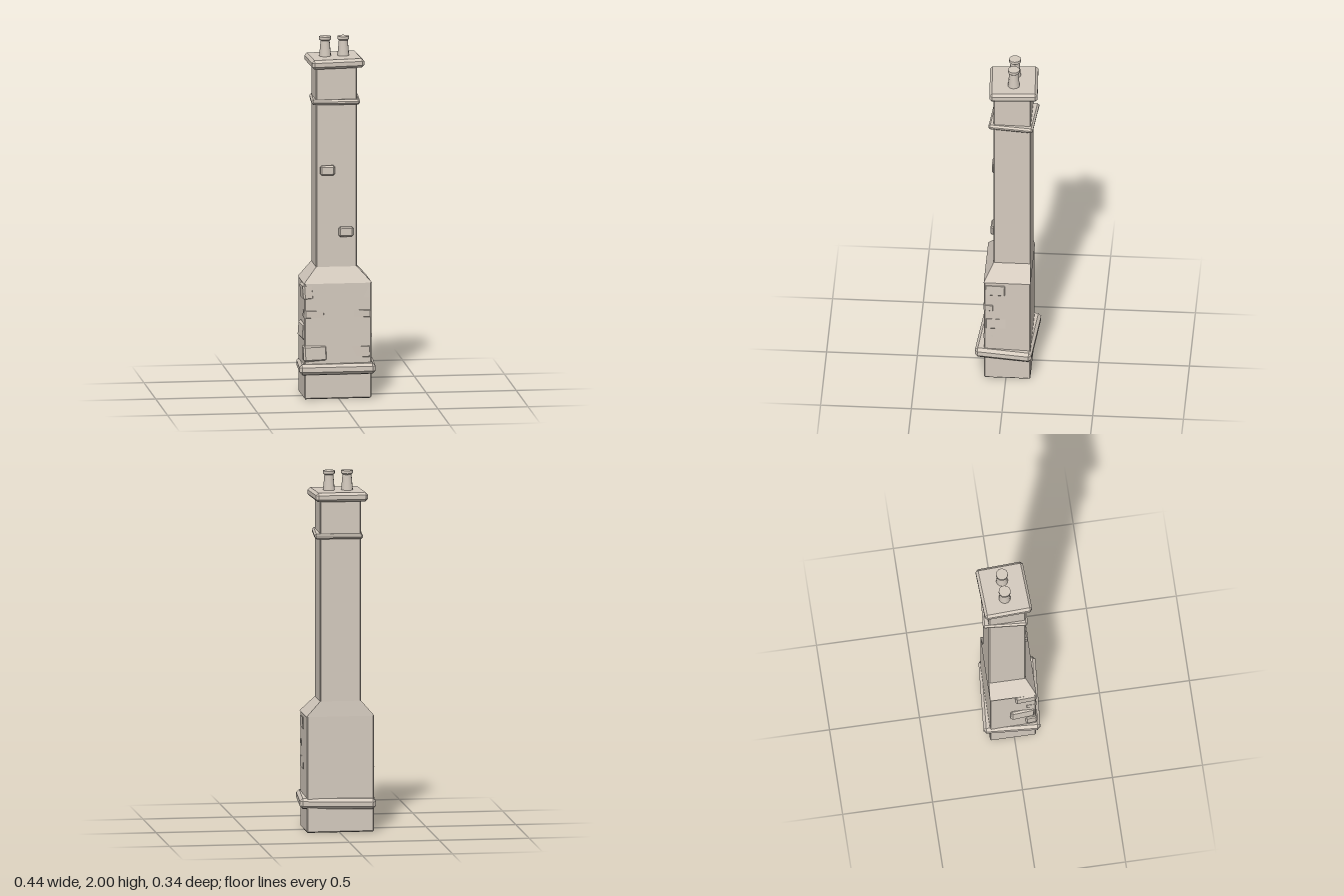
import * as THREE from 'three';
import { toCreasedNormals } from 'three/addons/utils/BufferGeometryUtils.js';
import { ConvexGeometry } from 'three/addons/geometries/ConvexGeometry.js';

// Box with flat chamfers along its edges
function chamferBox(w, h, d, bevel) {
  const points = [];
  const half = [w / 2, h / 2, d / 2];
  for (const sx of [-1, 1]) for (const sy of [-1, 1]) for (const sz of [-1, 1]) {
    for (let axis = 0; axis < 3; axis++) {
      const [x, y, z] = half.map((v, i) => (i === axis ? v : v - bevel));
      points.push(new THREE.Vector3(sx * x, sy * y, sz * z));
    }
  }
  return new ConvexGeometry(points);
}

export function createModel() {
  const model = new THREE.Group();
  model.name = 'chimney';
  const material = (name, color) => {
    const m = new THREE.MeshStandardMaterial({ color });
    m.name = name;
    return m;
  };
  const stone = material('paleStone', 0xd5cbbf);
  const dark = material('darkUnderside', 0x1c1c1c);

  const add = (name, geometry, position = [0, 0, 0], rotation = [0, 0, 0]) => {
    const mesh = new THREE.Mesh(geometry, stone);
    mesh.name = name;
    mesh.position.set(...position);
    mesh.rotation.set(...rotation);
    model.add(mesh);
    return mesh;
  };
  const block = (name, size, position, rotation, bevel = 0.008) =>
    add(name, chamferBox(...size, bevel), position, rotation);

  // Dark face on the underside of a block
  const addUnderside = (parent, [w, h, d], bevel) => {
    const plate = new THREE.Mesh(new THREE.BoxGeometry(w - 2 * bevel, 0.002, d - 2 * bevel), dark);
    plate.name = 'underside';
    plate.position.y = -h / 2;
    parent.add(plate);
  };

  // Wide base and tall shaft, flush at the back
  const baseSize = [0.372, 0.65, 0.255];
  const base = block('base', baseSize, [-0.005, 0.326, -0.0075], undefined, 0.005);
  addUnderside(base, baseSize, 0.005);
  block('shaft', [0.227, 1.2, 0.204], [-0.0065, 1.27, -0.03], undefined, 0.005);

  // Sloping shoulder: a box with its top corners drawn in to the shaft
  const shoulder = new THREE.BoxGeometry(1, 1, 1).toNonIndexed();
  const p = shoulder.attributes.position;
  for (let i = 0; i < p.count; i++) {
    const top = p.getY(i) > 0;
    const x = p.getX(i) > 0 ? (top ? 0.107 : 0.184) : (top ? -0.12 : -0.194);
    const z = p.getZ(i) > 0 ? (top ? 0.072 : 0.122) : (top ? -0.132 : -0.136);
    p.setXYZ(i, x, top ? 0.73 : 0.645, z);
  }
  shoulder.computeVertexNormals();
  add('shoulder', shoulder);

  // Crooked bands and cap
  const bandSize = [0.42, 0.058, 0.314];
  const band = block('baseBand', bandSize, [0, 0.165, 0], [-0.03, -0.075, 0.012], 0.016);
  addUnderside(band, bandSize, 0.016);
  block('collar', [0.267, 0.029, 0.247], [-0.003, 1.649, -0.032], [-0.015, -0.08, 0.006], 0.01);
  block('cap', [0.292, 0.051, 0.265], [-0.005, 1.866, -0.032], [0.008, 0.05, 0.012], 0.014);

  // Two chimney pots
  const potProfile = [[0.033, 0], [0.025, 0.09], [0.033, 0.097], [0.033, 0.113], [0, 0.113]]
    .map(([r, y]) => new THREE.Vector2(r, y));
  for (const x of [-0.056, 0.045]) {
    const pot = toCreasedNormals(new THREE.LatheGeometry(potProfile, 12), 0.6);
    add('chimneyPot', pot, [x, 1.887, -0.035]);
  }

  // Loose bricks on the shaft front
  for (const [x, y] of [[-0.057, 1.27], [0.045, 0.925]]) {
    block('shaftBrick', [0.08, 0.055, 0.042], [x, y, 0.07]);
  }

  // Corner stones: x, y, z, width, height, depth, turn, lean
  const corners = [
    [-0.131, 0.255, 0.092, 0.132, 0.09, 0.07, 0.05, 0.02],
    [-0.167, 0.375, 0.043, 0.074, 0.09, 0.135, 0.09, -0.06],
    [-0.134, 0.473, 0.09, 0.118, 0.055, 0.064, 0.03, -0.03],
    [-0.17, 0.597, 0.063, 0.06, 0.09, 0.118, 0.04, 0.06],
    [0.119, 0.262, 0.09, 0.122, 0.078, 0.062, -0.03, -0.03],
    [0.15, 0.368, 0.055, 0.066, 0.08, 0.125, 0.02, 0.03],
    [0.129, 0.475, 0.092, 0.108, 0.055, 0.06, -0.03, -0.04],
    [0.151, 0.592, 0.059, 0.066, 0.08, 0.122, -0.02, 0.02],
  ];
  for (const [x, y, z, w, h, d, turn, lean] of corners) {
    block('cornerStone', [w, h, d], [x, y, z], [-lean * 0.5, turn, lean], 0.01);
  }

  return model;
}
